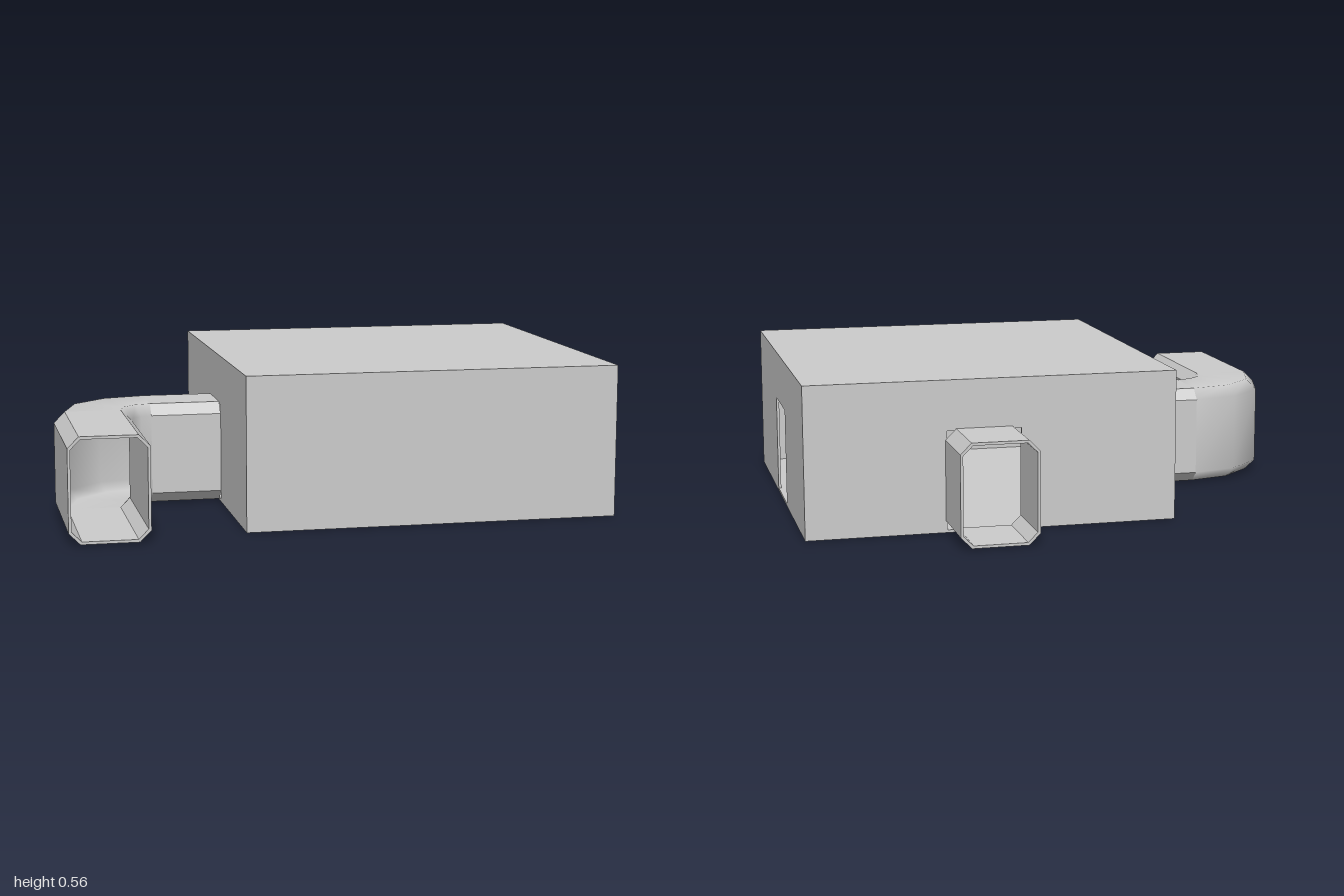
import * as THREE from 'three';

const grey = new THREE.MeshStandardMaterial({ color: 0xcccccc, side: THREE.DoubleSide });
const T = 0.01;                                        // sheet thickness
const X0 = -0.368, X1 = 1, Z0 = -0.595, Z1 = 0.768, H = 0.557; // room bounds
const DW = 0.285, DH = 0.375, DY = 0.192;              // duct width, height, centre height
const ZD = 0.0825;                                     // z of the side duct and doorway

// Chamfered rectangle, counter-clockwise, shrunk by an inset
function section(inset) {
  const a = DW / 2 - inset, b = DH / 2 - inset, c = 0.04 - inset * 0.5;
  return [[a, -b + c], [a, b - c], [a - c, b], [-a + c, b], [-a, b - c], [-a, -b + c], [-a + c, -b], [a - c, -b]]
    .map(([x, y]) => new THREE.Vector2(x, y));
}

function add(parent, name, geometry) {
  const mesh = new THREE.Mesh(geometry, grey);
  mesh.name = name;
  parent.add(mesh);
  return mesh;
}

// Straight hollow duct running along +z
function straightDuct(length) {
  const shape = new THREE.Shape(section(0));
  shape.holes.push(new THREE.Path(section(T).reverse()));
  return new THREE.ExtrudeGeometry(shape, { depth: length, bevelEnabled: false });
}

// One skin of the quarter bend, swept about a vertical axis
function bendSkin(inset, inward) {
  const ring = section(inset), n = ring.length, pos = [], idx = [];
  const angles = [0, 28, 57, 90].map(THREE.MathUtils.degToRad);
  angles.forEach((a, j) => {
    ring.forEach((p, i) => {
      const r = 0.2275 + p.x;
      pos.push(-r * Math.sin(a), p.y, -r * Math.cos(a));
      if (j === angles.length - 1) return;
      const p0 = j * n + i, p1 = j * n + (i + 1) % n;
      if (inward) idx.push(p0, p1, p1 + n, p0, p1 + n, p0 + n);
      else idx.push(p0, p1 + n, p1, p0, p0 + n, p1 + n);
    });
  });
  const g = new THREE.BufferGeometry();
  g.setAttribute('position', new THREE.Float32BufferAttribute(pos, 3));
  g.setIndex(idx);
  g.computeVertexNormals();
  return g;
}

// Wall panel from a to b, with a floor-level opening centred on c
function wallPanel(a, b, c) {
  const w = 0.137, top = 0.372;
  const outline = [[a, T], [c - w, T], [c - w, top], [c + w, top], [c + w, T], [b, T], [b, H - T], [a, H - T]];
  const shape = new THREE.Shape(outline.map(([x, y]) => new THREE.Vector2(x, y)));
  return new THREE.ExtrudeGeometry(shape, { depth: T, bevelEnabled: false });
}

export function createModel() {
  const model = new THREE.Group();
  model.name = 'roomWithDucts';

  // Room shell
  const room = new THREE.Group();
  room.name = 'room';
  model.add(room);
  const cx = (X0 + X1) / 2, cz = (Z0 + Z1) / 2;
  for (const [name, y] of [['floor', T / 2], ['ceiling', H - T / 2]])
    add(room, name, new THREE.BoxGeometry(X1 - X0, T, Z1 - Z0)).position.set(cx, y, cz);
  add(room, 'frontWall', new THREE.BoxGeometry(X1 - X0, H - 2 * T, T)).position.set(cx, H / 2, Z1 - T / 2);
  add(room, 'backWall', wallPanel(X0, X1, 0.35)).position.z = Z0;
  for (const [name, x] of [['leftWall', X1], ['rightWall', X0 + T]]) {
    const wall = add(room, name, wallPanel(Z0 + T, Z1 - T, ZD));
    wall.rotation.y = -Math.PI / 2;
    wall.position.x = x;
  }

  // Short duct out of the back wall
  add(model, 'backDuct', straightDuct(0.26)).position.set(0.35, DY, -0.855);

  // Side duct: stub, quarter bend, then a run toward the front
  const side = new THREE.Group();
  side.name = 'sideDuct';
  model.add(side);
  const stub = add(side, 'ductStub', straightDuct(0.262));
  stub.rotation.y = -Math.PI / 2;
  stub.position.set(X0, DY, ZD);
  add(side, 'bendOuter', bendSkin(0, false)).position.set(-0.63, DY, 0.31);
  add(side, 'bendInner', bendSkin(T, true)).position.set(-0.63, DY, 0.31);
  add(side, 'frontRun', straightDuct(0.543)).position.set(-0.8575, DY, 0.31);

  return model;
}
